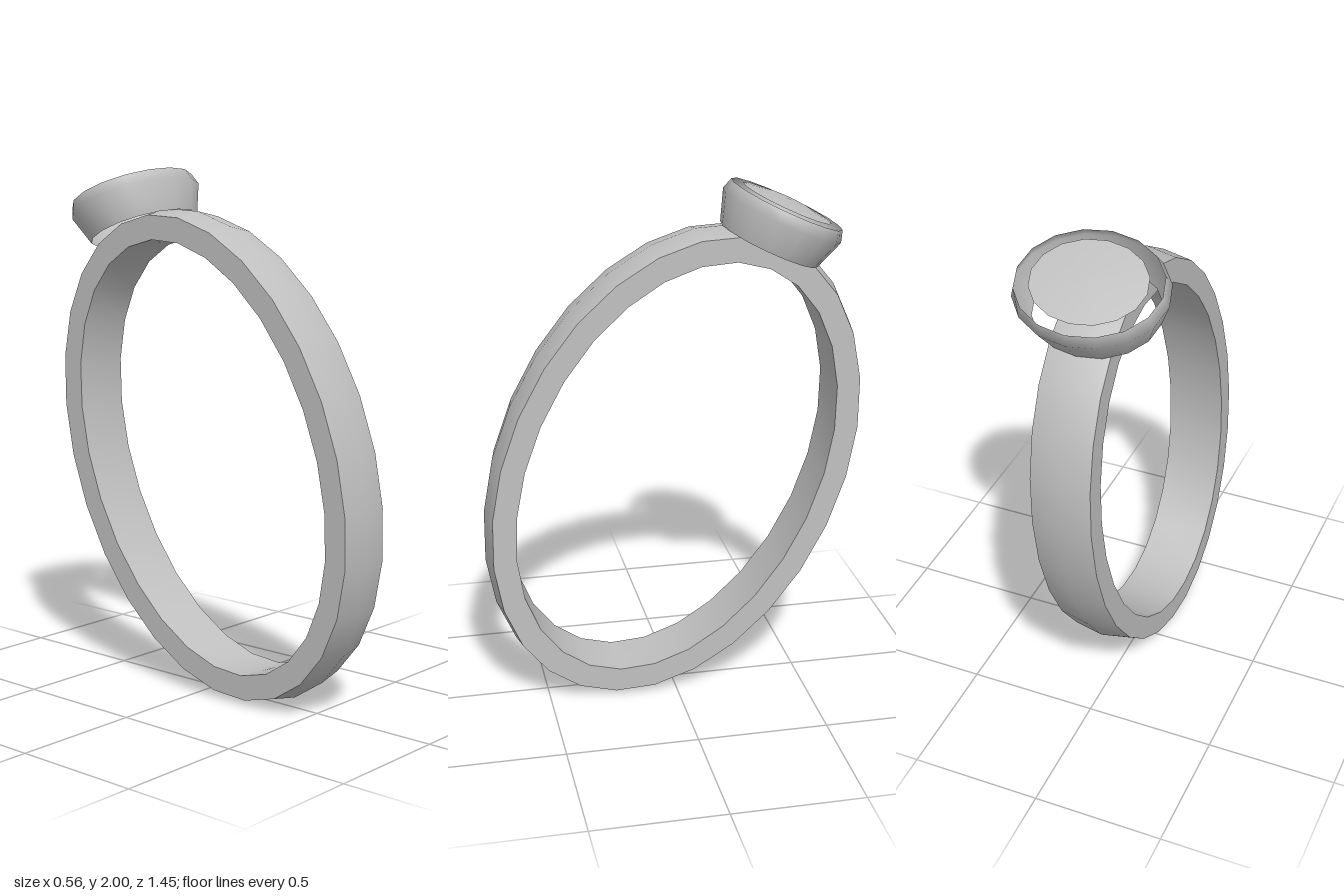
import * as THREE from 'three';
import { toCreasedNormals } from 'three/addons/utils/BufferGeometryUtils.js';

const TILT = -0.42;

// Elliptical band with a slight ridge along its outer face
function bandGeometry(segments) {
  // cross-section: x, major radius, minor radius
  const section = [
    [-0.113, 0.85, 0.56], [-0.113, 0.945, 0.65], [0, 0.967, 0.67],
    [0.113, 0.945, 0.65], [0.113, 0.85, 0.56],
  ];
  const n = section.length, pos = [], index = [];
  for (let i = 0; i < segments; i++) {
    const t = (i / segments) * Math.PI * 2;
    for (const [x, a, b] of section) pos.push(x, a * Math.cos(t), b * Math.sin(t));
    const next = (i + 1) % segments;
    for (let k = 0; k < n; k++) {
      const A = i * n + k, B = i * n + (k + 1) % n;
      const D = next * n + k, C = next * n + (k + 1) % n;
      index.push(A, D, C, A, C, B);
    }
  }
  const g = new THREE.BufferGeometry();
  g.setAttribute('position', new THREE.Float32BufferAttribute(pos, 3));
  g.setIndex(index);
  return toCreasedNormals(g, 0.7);
}

// Oval turned part from a bottom-to-top profile
function oval(name, profile, material) {
  const g = new THREE.LatheGeometry(profile.map(p => new THREE.Vector2(...p)), 16);
  const mesh = new THREE.Mesh(g, material);
  mesh.name = name;
  mesh.scale.x = 1.2;
  return mesh;
}

export function createModel() {
  const metal = new THREE.MeshStandardMaterial({ color: 0xc0c0c0, side: THREE.DoubleSide });
  metal.name = 'silver grey';
  const model = new THREE.Group();
  model.name = 'ring';

  // Band
  const band = new THREE.Mesh(bandGeometry(28), metal);
  band.name = 'band';
  band.position.y = 0.922;
  band.rotation.x = TILT;
  model.add(band);

  // Setting: open flared collar with a thin stone face floating inside its rim
  const setting = new THREE.Group();
  setting.name = 'setting';
  setting.position.set(0, 1.763, -0.367);
  setting.rotation.x = TILT;
  setting.add(oval('bezel', [[0.194, 0], [0.233, 0.115], [0.219, 0.16]], metal));
  const stone = oval('stone', [[0.175, 0], [0.09, 0.012], [0, 0.016]], metal);
  stone.position.y = 0.164;
  setting.add(stone);
  model.add(setting);

  return model;
}
